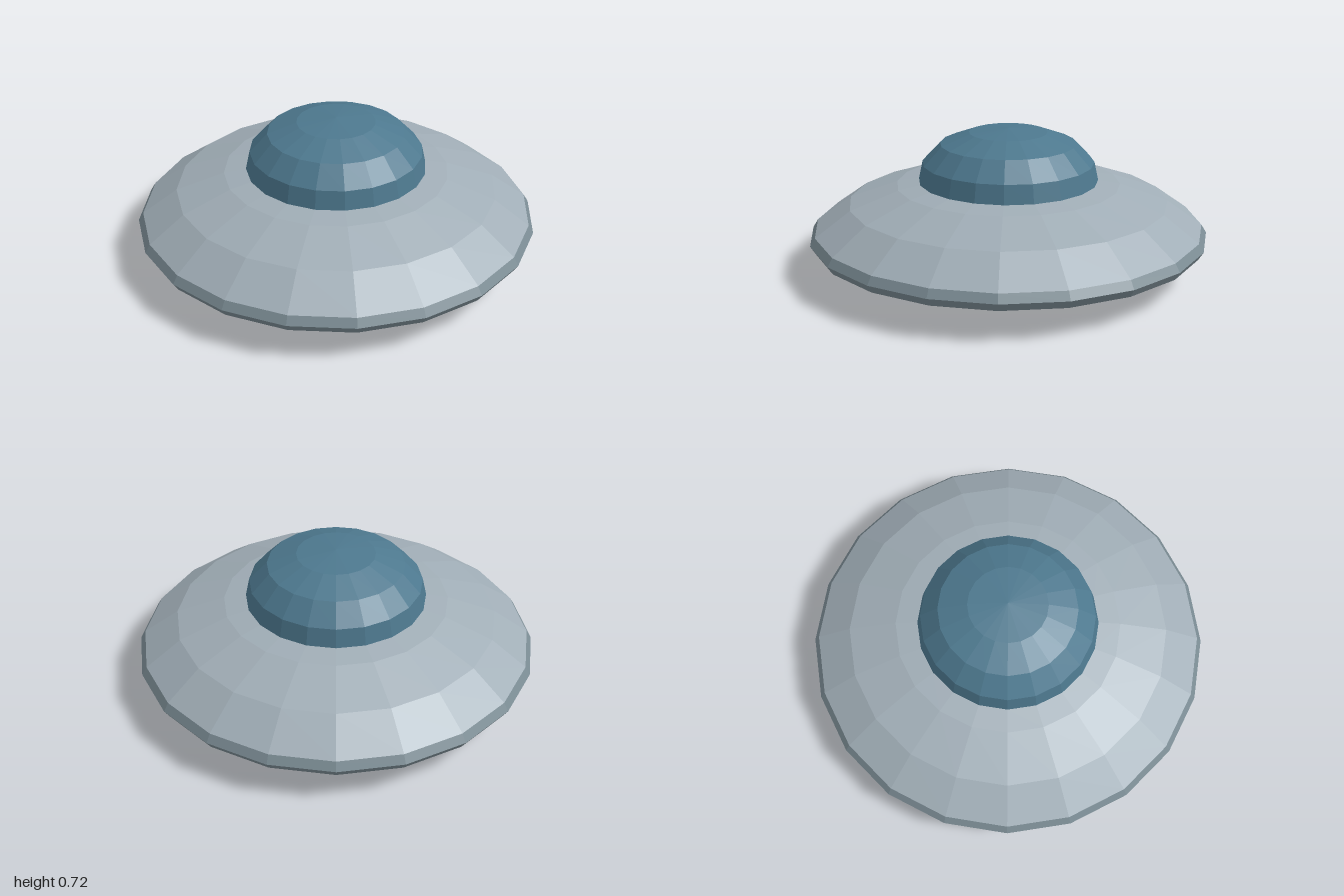
import * as THREE from 'three';

const SIDES = 20;

// Faceted body of revolution from [radius, height] pairs, bottom to top.
function ring(name, color, profile) {
  const points = profile.map(([r, y]) => new THREE.Vector2(r, y));
  const material = new THREE.MeshStandardMaterial({ color, flatShading: true, side: THREE.DoubleSide });
  const mesh = new THREE.Mesh(new THREE.LatheGeometry(points, SIDES), material);
  mesh.name = name;
  return mesh;
}

export function createModel() {
  const saucer = new THREE.Group();
  saucer.name = 'flyingSaucer';
  saucer.add(
    // dark belly with a flat base
    ring('underside', 0x5c6066, [[0, 0], [0.44, 0], [0.72, 0.055], [0.975, 0.15]]),
    // bevelled outer edge
    ring('rim', 0x7b8c94, [[0.975, 0.15], [1, 0.19], [0.975, 0.23]]),
    // sloping upper deck
    ring('upperHull', 0xa0adb6, [[0.975, 0.23], [0.8, 0.355], [0.56, 0.44], [0.45, 0.458]]),
    // cockpit canopy
    ring('dome', 0x4d788e, [[0.45, 0.458], [0.43, 0.55], [0.34, 0.645], [0.195, 0.7], [0, 0.72]]),
  );
  return saucer;
}
